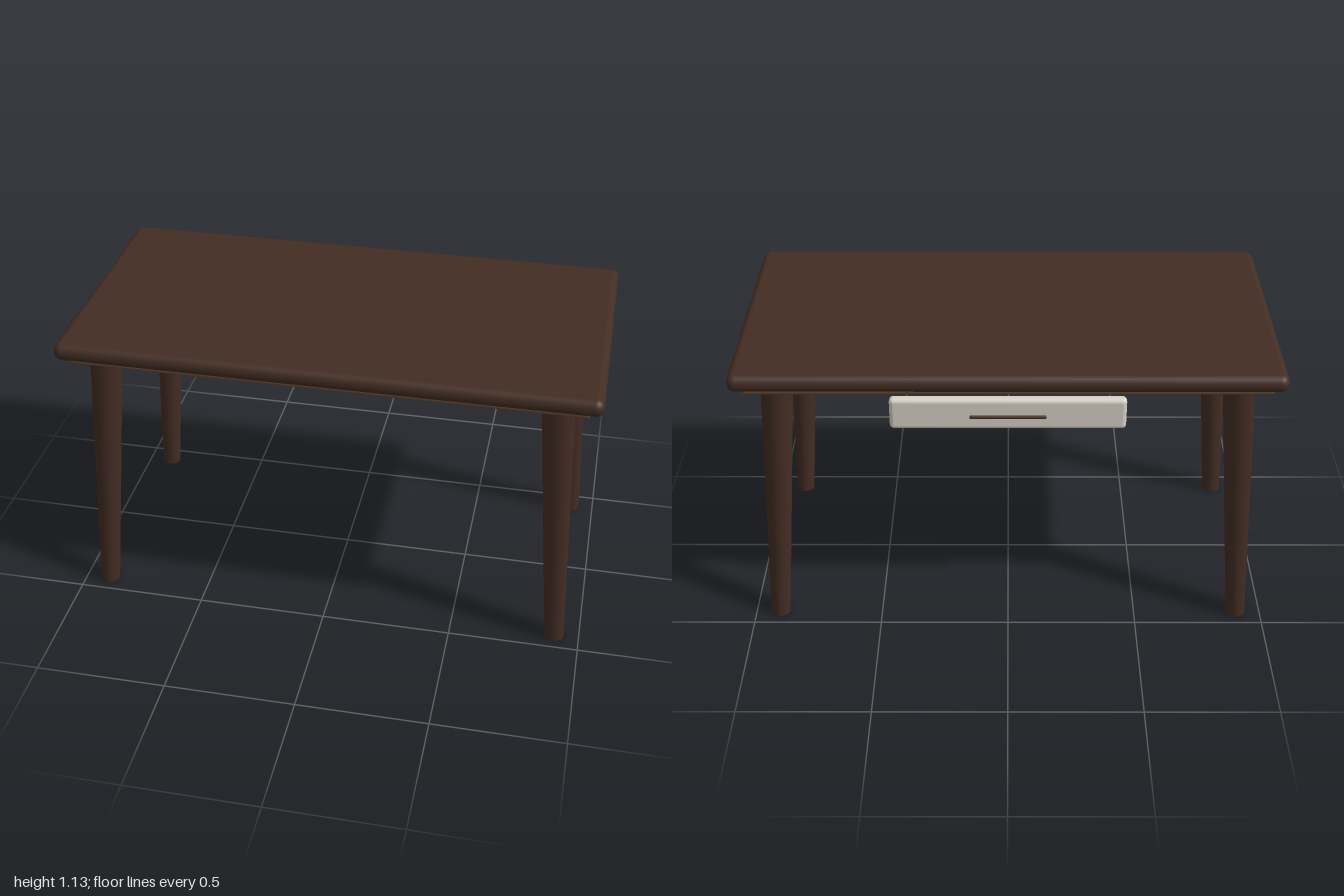
import * as THREE from 'three';
import { RoundedBoxGeometry } from 'three/addons/geometries/RoundedBoxGeometry.js';

function material(name, color) {
  const m = new THREE.MeshStandardMaterial({ color });
  m.name = name;
  return m;
}

export function createModel() {
  const group = new THREE.Group();
  const darkWood = material('darkWood', 0x432d23);
  const lightWood = material('lightWood', 0x6a4a35);
  const cream = material('cream', 0xd8d1c8);

  const add = (name, geometry, mat) => {
    const mesh = new THREE.Mesh(geometry, mat);
    mesh.name = name;
    group.add(mesh);
    return mesh;
  };

  // Rounded slab given by its lower and upper corners
  const slab = (name, lo, hi, radius, mat) => {
    const size = hi.map((v, i) => v - lo[i]);
    const mesh = add(name, new RoundedBoxGeometry(...size, 4, radius), mat);
    mesh.position.set(...hi.map((v, i) => (v + lo[i]) / 2));
  };

  slab('tableTop', [-1, 1.065, -0.515], [1, 1.132, 0.515], 0.032, darkWood);
  slab('underPanel', [-0.955, 1.036, -0.472], [0.955, 1.066, 0.472], 0.012, lightWood);
  slab('centreBeam', [-0.8, 0.99, -0.041], [0.8, 1.038, 0.041], 0.016, lightWood);

  // Drawer front and its handle on the back side
  slab('drawerFront', [-0.43, 0.888, -0.469], [0.43, 1.015, -0.427], 0.017, cream);
  const handle = add('drawerHandle', new THREE.CapsuleGeometry(0.007, 0.265, 4, 10), darkWood);
  handle.rotation.z = Math.PI / 2;
  handle.position.set(0, 0.95, -0.48);

  // Tapered legs, splayed outward by shearing a cone
  const height = 1.045;
  for (const sx of [-1, 1]) {
    for (const sz of [-1, 1]) {
      const geo = new THREE.CylinderGeometry(0.06, 0.0375, height, 16);
      geo.translate(0, height / 2, 0);
      const p = geo.attributes.position;
      for (let i = 0; i < p.count; i++) {
        const t = p.getY(i) / height;
        p.setX(i, p.getX(i) + sx * (0.905 - 0.067 * t));
        p.setZ(i, p.getZ(i) + sz * (0.427 - 0.038 * t));
      }
      add(`${sz > 0 ? 'front' : 'back'}${sx > 0 ? 'Left' : 'Right'}Leg`, geo, darkWood);
    }
  }
  return group;
}
